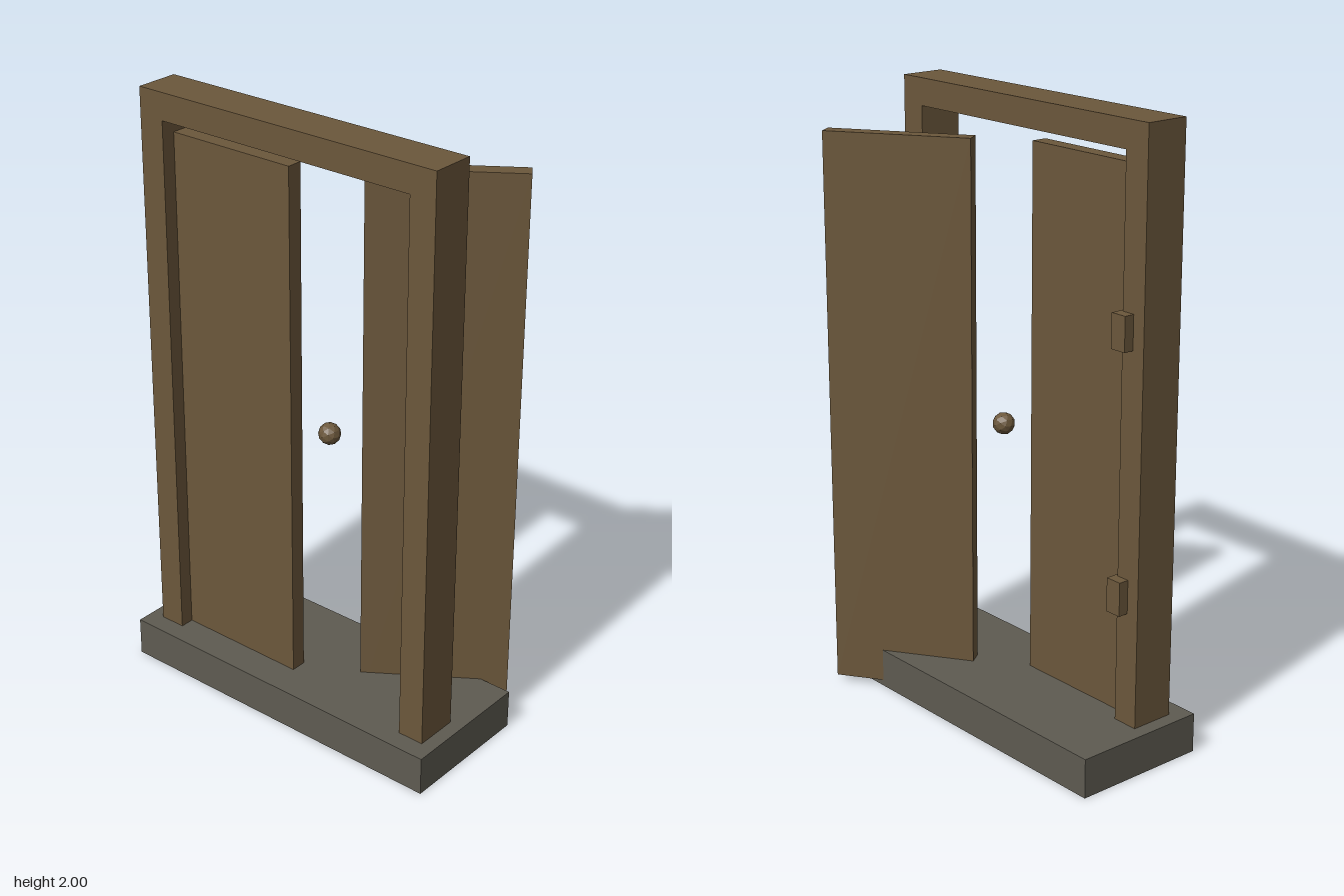
import * as THREE from 'three';

export function createModel() {
  const model = new THREE.Group();
  const wood = new THREE.MeshStandardMaterial({ color: 0x6b573b });
  wood.name = 'brown wood';
  const stone = new THREE.MeshStandardMaterial({ color: 0x5e5b51 });
  stone.name = 'grey stone';
  wood.flatShading = true;

  // Box given by its extents on each axis
  const addBox = (name, material, [x0, x1], [y0, y1], [z0, z1]) => {
    const mesh = new THREE.Mesh(new THREE.BoxGeometry(x1 - x0, y1 - y0, z1 - z0), material);
    mesh.position.set((x0 + x1) / 2, (y0 + y1) / 2, (z0 + z1) / 2);
    mesh.name = name;
    model.add(mesh);
    return mesh;
  };

  // Threshold slab
  addBox('threshold', stone, [-0.6, 0.6], [0, 0.13], [-0.185, 0.275]);

  // Door frame: one outline around the opening, set into the slab
  const outline = new THREE.Shape([
    [-0.553, 0.01], [-0.464, 0.01], [-0.464, 1.912], [0.464, 1.912],
    [0.464, 0.01], [0.553, 0.01], [0.553, 2], [-0.553, 2],
  ].map(([x, y]) => new THREE.Vector2(x, y)));
  const frame = new THREE.Mesh(
    new THREE.ExtrudeGeometry(outline, { depth: 0.147, bevelEnabled: false }), wood);
  frame.position.z = 0.064;
  frame.name = 'doorFrame';
  model.add(frame);

  // Closed leaf, tucked into the post
  addBox('closedDoor', wood, [-0.486, -0.01], [0.02, 1.865], [0.112, 0.164]);

  // Open leaf, swung behind the frame
  const openDoor = addBox('openDoor', wood, [0.109, 0.585], [0.02, 1.865], [-0.147, -0.095]);
  openDoor.rotation.y = THREE.MathUtils.degToRad(34.2);

  // Two hinge blocks behind each post
  for (const side of [-1, 1]) {
    for (const y of [0.555, 1.385]) {
      const hinge = addBox('hinge', wood, [0, 0.056], [y - 0.055, y + 0.055], [0.03, 0.075]);
      hinge.position.x = side * 0.481;
    }
  }

  // Round knob
  const knob = new THREE.Mesh(new THREE.IcosahedronGeometry(0.036, 1), wood);
  knob.position.set(0.043, 0.97, 0.044);
  knob.name = 'knob';
  model.add(knob);

  return model;
}
